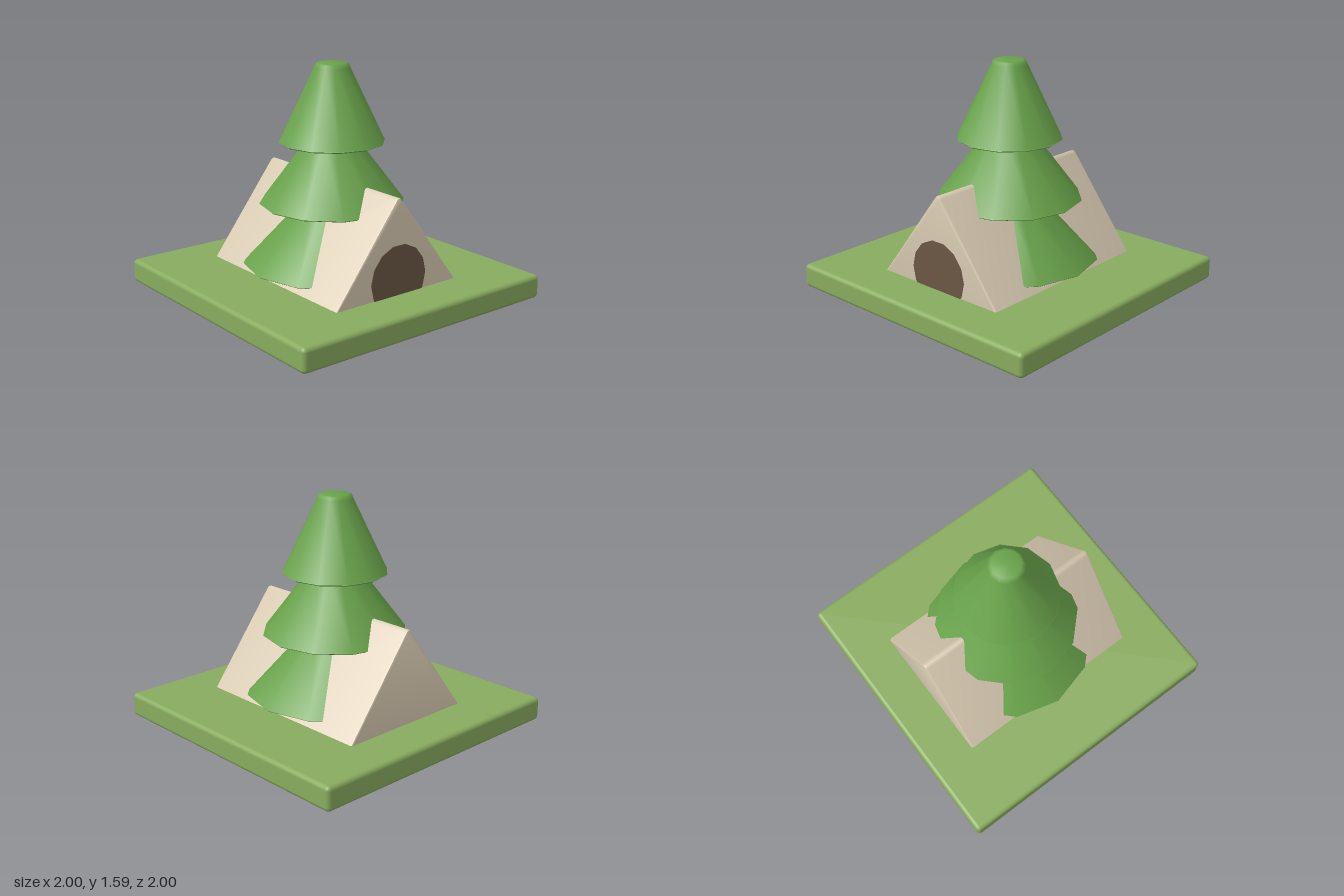
import * as THREE from 'three';
import { toCreasedNormals } from 'three/addons/utils/BufferGeometryUtils.js';
import { RoundedBoxGeometry } from 'three/addons/geometries/RoundedBoxGeometry.js';

const material = (name, color) => {
  const m = new THREE.MeshStandardMaterial({ color });
  m.name = name;
  return m;
};

export function createModel() {
  const grass = material('grass green', 0x88ab5e);
  const leaf = material('leaf green', 0x68a24a);
  const canvas = material('canvas beige', 0xd8cab2);
  const brown = material('bark brown', 0x6b5644);

  const model = new THREE.Group();
  model.name = 'campsite';
  const add = (name, geometry, mat, x = 0, y = 0, z = 0) => {
    const mesh = new THREE.Mesh(geometry, mat);
    mesh.name = name;
    mesh.position.set(x, y, z);
    model.add(mesh);
    return mesh;
  };

  // Ground slab with softened edges
  add('ground', new RoundedBoxGeometry(2, 0.165, 2, 3, 0.03), grass, 0, 0.0825, 0);

  // Tent: a triangular prism with a softened ridge and ends
  const bevel = 0.014;
  const section = new THREE.Shape();
  section.moveTo(-0.56, 0.08);
  section.lineTo(0.56, 0.08);
  section.lineTo(0.016, 0.783);
  section.quadraticCurveTo(0, 0.808, -0.016, 0.783);
  section.closePath();
  const tent = new THREE.ExtrudeGeometry(section, {
    depth: 1.37 - 2 * bevel, curveSegments: 4,
    bevelEnabled: true, bevelSize: bevel, bevelThickness: bevel, bevelSegments: 2,
  });
  tent.translate(0, 0, -0.685 + bevel);
  add('tent', toCreasedNormals(tent, 0.7), canvas);

  // Round doorway, its lower part sunk in the ground
  const door = new THREE.CylinderGeometry(0.23, 0.23, 0.012, 14, 1, false, Math.PI / 2);
  door.rotateX(Math.PI / 2);
  add('doorway', door, brown, 0, 0.275, 0.684);

  // Tree trunk, mostly hidden by the tent and foliage
  add('trunk', new THREE.CylinderGeometry(0.09, 0.09, 0.9, 12), brown, 0, 0.47, 0);

  // Foliage tiers: [name, bottom y, bottom radius, top y, top radius]
  const tiers = [
    ['lowerFoliage', 0.215, 0.61, 0.72, 0.155],
    ['middleFoliage', 0.632, 0.495, 1.12, 0.15],
    ['upperFoliage', 1.05, 0.36, 1.585, 0.115],
  ];
  for (const [name, y0, r0, y1, r1] of tiers) {
    const profile = [
      [0, y0], [r0 - 0.012, y0], [r0, y0 + 0.008], [r0 - 0.006, y0 + 0.016],
      [r1 + 0.006, y1 - 0.03], [r1 - 0.003, y1 - 0.008], [r1 - 0.02, y1], [0, y1],
    ].map(([r, y]) => new THREE.Vector2(r, y));
    add(name, toCreasedNormals(new THREE.LatheGeometry(profile, 12), 0.9), leaf);
  }

  return model;
}
